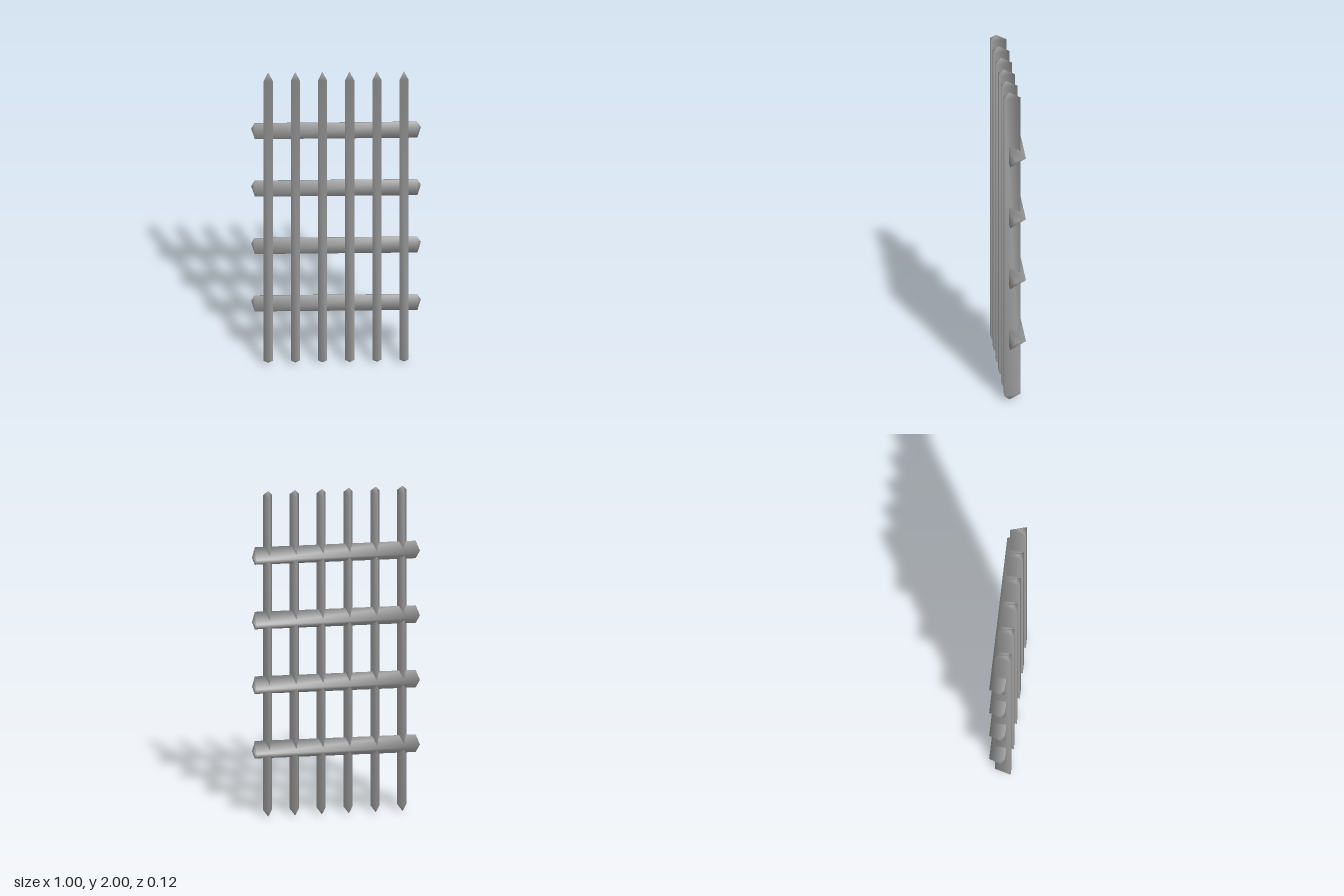
import * as THREE from 'three';

// Three-sided bar along y with pointed ends: flat face at +z, ridge at -z.
// Its tips lie on the axis through the middle of the triangle.
function barGeometry(length, width, depth, point) {
  const h = length / 2;
  const ring = [[-width / 2, depth / 3], [width / 2, depth / 3], [0, -depth * 2 / 3]];
  const pos = [];
  for (const y of [-h + point, h - point]) {
    for (const [x, z] of ring) pos.push(x, y, z);
  }
  pos.push(0, -h, 0, 0, h, 0);
  const index = [];
  for (let i = 0; i < 3; i++) {
    const j = (i + 1) % 3;
    index.push(i, j, i + 3, j, j + 3, i + 3); // side
    index.push(i + 3, j + 3, 7, j, i, 6);     // both points
  }
  const geo = new THREE.BufferGeometry();
  geo.setAttribute('position', new THREE.Float32BufferAttribute(pos, 3));
  geo.setIndex(index);
  geo.computeVertexNormals(); // shared corners give smooth shading
  return geo;
}

export function createModel() {
  const group = new THREE.Group();
  const iron = new THREE.MeshStandardMaterial({ color: 0xa0a0a0 });
  iron.name = 'grey iron';

  // Upright bars in front
  const uprightGeo = barGeometry(2, 0.054, 0.096, 0.033);
  for (let i = 0; i < 6; i++) {
    const bar = new THREE.Mesh(uprightGeo, iron);
    bar.name = `uprightBar${i + 1}`;
    bar.position.set(-0.4 + i * 0.16, 1, 0.029);
    group.add(bar);
  }

  // Cross bars, ridge facing the back
  const crossGeo = barGeometry(1, 0.108, 0.094, 0.021);
  crossGeo.rotateZ(Math.PI / 2);
  for (let i = 0; i < 4; i++) {
    const bar = new THREE.Mesh(crossGeo, iron);
    bar.name = `crossBar${i + 1}`;
    bar.position.set(0, 0.412 + i * 0.397, 0.002);
    group.add(bar);
  }
  return group;
}
